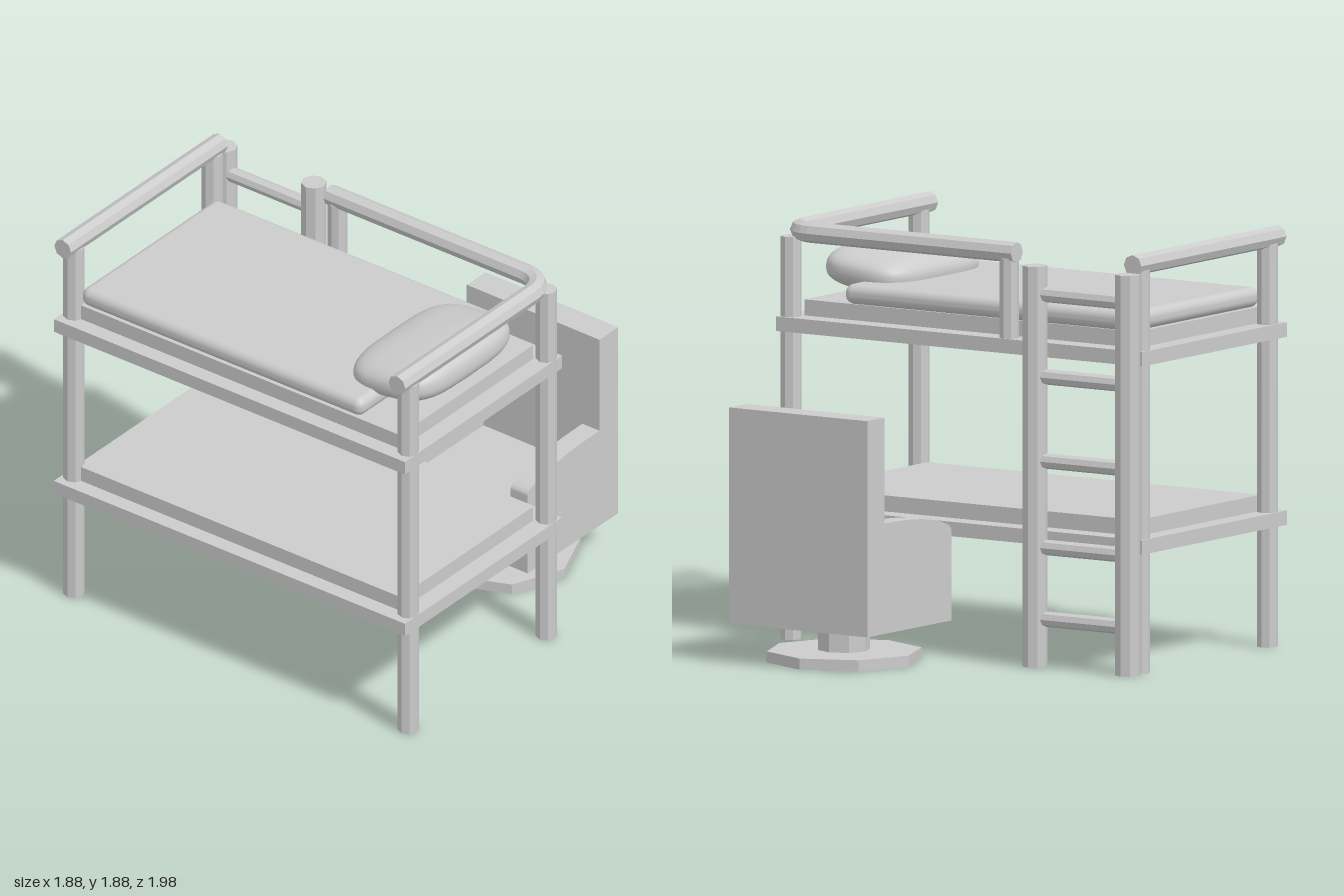
import * as THREE from 'three';
import { RoundedBoxGeometry } from 'three/addons/geometries/RoundedBoxGeometry.js';

const flat = new THREE.MeshStandardMaterial({ color: 0xcccccc, flatShading: true });
const smooth = new THREE.MeshStandardMaterial({ color: 0xcccccc });

function add(parent, name, geometry, x, y, z, material = flat) {
  const mesh = new THREE.Mesh(geometry, material);
  mesh.name = name;
  mesh.position.set(x, y, z);
  parent.add(mesh);
  return mesh;
}

// Box given by its lower and upper corners
function box(parent, name, [x0, y0, z0], [x1, y1, z1]) {
  const geo = new THREE.BoxGeometry(x1 - x0, y1 - y0, z1 - z0);
  return add(parent, name, geo, (x0 + x1) / 2, (y0 + y1) / 2, (z0 + z1) / 2);
}

// Eight-sided bar between two points
function bar(parent, name, a, b, radius) {
  const from = new THREE.Vector3(...a), to = new THREE.Vector3(...b);
  const dir = to.clone().sub(from);
  const mid = from.clone().add(to).multiplyScalar(0.5);
  const mesh = add(parent, name, new THREE.CylinderGeometry(radius, radius, dir.length(), 8), mid.x, mid.y, mid.z);
  mesh.quaternion.setFromUnitVectors(new THREE.Vector3(0, 1, 0), dir.normalize());
  return mesh;
}

// Sphere pushed out towards a box to give a plump cushion
function cushion(w, h, d) {
  const geo = new THREE.SphereGeometry(1, 40, 28);
  const p = geo.attributes.position;
  const swell = (v, e) => Math.sign(v) * Math.abs(v) ** e;
  for (let i = 0; i < p.count; i++) {
    const y = p.getY(i), ring = Math.sqrt(Math.max(0, 1 - y * y));
    const c = ring > 1e-6 ? p.getX(i) / ring : 0, s = ring > 1e-6 ? p.getZ(i) / ring : 0;
    const r = swell(ring, 0.65);
    p.setXYZ(i, swell(c, 0.55) * r * w / 2, swell(y, 0.8) * h / 2, swell(s, 0.55) * r * d / 2);
  }
  geo.computeVertexNormals();
  return geo;
}

function createBed() {
  const bed = new THREE.Group();
  bed.name = 'bunkBed';

  // Corner posts
  for (const x of [-0.858, 0.145])
    for (const z of [-0.94, 0.94]) bar(bed, 'post', [x, 0, z], [x, 1.81, z], 0.048);

  // Two bunks with their mattresses
  for (const y of [0.54, 1.385]) {
    box(bed, 'bunkFrame', [-0.94, y, -0.99], [0.2, y + 0.065, 0.985]);
    box(bed, 'mattress', [-0.865, y + 0.065, -0.9], [0.1, y + 0.137, 0.9]);
  }

  // Bedding on the upper bunk
  add(bed, 'blanket', new RoundedBoxGeometry(0.99, 0.09, 1.58, 4, 0.04), -0.375, 1.566, -0.11, smooth);
  add(bed, 'pillow', cushion(0.755, 0.205, 0.48), -0.372, 1.637, 0.695, smooth).rotation.x = -0.13;

  // Guard rails: straight at the back, bent round the front corner
  const y = 1.835, r = 0.047, bend = 0.12;
  bar(bed, 'backRail', [-0.94, y, -0.94], [0.2, y, -0.94], r);
  bar(bed, 'frontRail', [-0.94, y, 0.94], [0.155 - bend, y, 0.94], r);
  bar(bed, 'sideRail', [0.155, y, 0.94 - bend], [0.155, y, -0.285], r);
  const corner = new THREE.TorusGeometry(bend, r, 8, 6, Math.PI / 2).rotateX(Math.PI / 2);
  add(bed, 'railCorner', corner, 0.155 - bend, y, 0.94 - bend);
  bar(bed, 'sideRailPost', [0.155, 1.45, -0.243], [0.155, 1.81, -0.243], 0.044);
  return bed;
}

function createLadder() {
  const ladder = new THREE.Group();
  ladder.name = 'ladder';
  for (const z of [-0.44, -0.94]) bar(ladder, 'ladderPost', [0.237, 0, z], [0.237, 1.8, z], 0.057);
  for (const y of [0.215, 0.537, 0.925, 1.303, 1.673])
    bar(ladder, 'rung', [0.23, y, -0.44], [0.23, y, -0.94], 0.035);
  return ladder;
}

function createChair() {
  const chair = new THREE.Group();
  chair.name = 'chair';
  chair.position.set(0.608, 0, 0.357);

  // Foot and stem
  add(chair, 'foot', new THREE.CylinderGeometry(0.35, 0.35, 0.05, 8), -0.035, 0.025, 0.003);
  add(chair, 'stem', new THREE.CylinderGeometry(0.117, 0.117, 0.14, 8), -0.035, 0.115, 0.003);

  const body = new THREE.Group();
  body.name = 'chairBody';
  body.rotation.y = -0.01;
  chair.add(body);
  box(body, 'backrest', [0.19, 0.177, -0.376], [0.325, 1.148, 0.376]);
  box(body, 'seat', [-0.325, 0.177, -0.28], [0.19, 0.45, 0.28]);

  // Armrests with a curved top
  const side = new THREE.Shape();
  side.moveTo(-0.325, 0.177);
  side.lineTo(0.19, 0.177);
  side.lineTo(0.19, 0.673);
  side.bezierCurveTo(0, 0.673, -0.19, 0.658, -0.29, 0.615);
  side.quadraticCurveTo(-0.325, 0.6, -0.325, 0.58);
  side.closePath();
  const arm = new THREE.ExtrudeGeometry(side, { depth: 0.096, bevelEnabled: false, curveSegments: 8 });
  for (const z of [-0.376, 0.28]) add(body, 'armrest', arm, 0, 0, z);
  return chair;
}

export function createModel() {
  const model = new THREE.Group();
  model.name = 'bunkBedWithChair';
  model.add(createBed(), createLadder(), createChair());
  return model;
}
